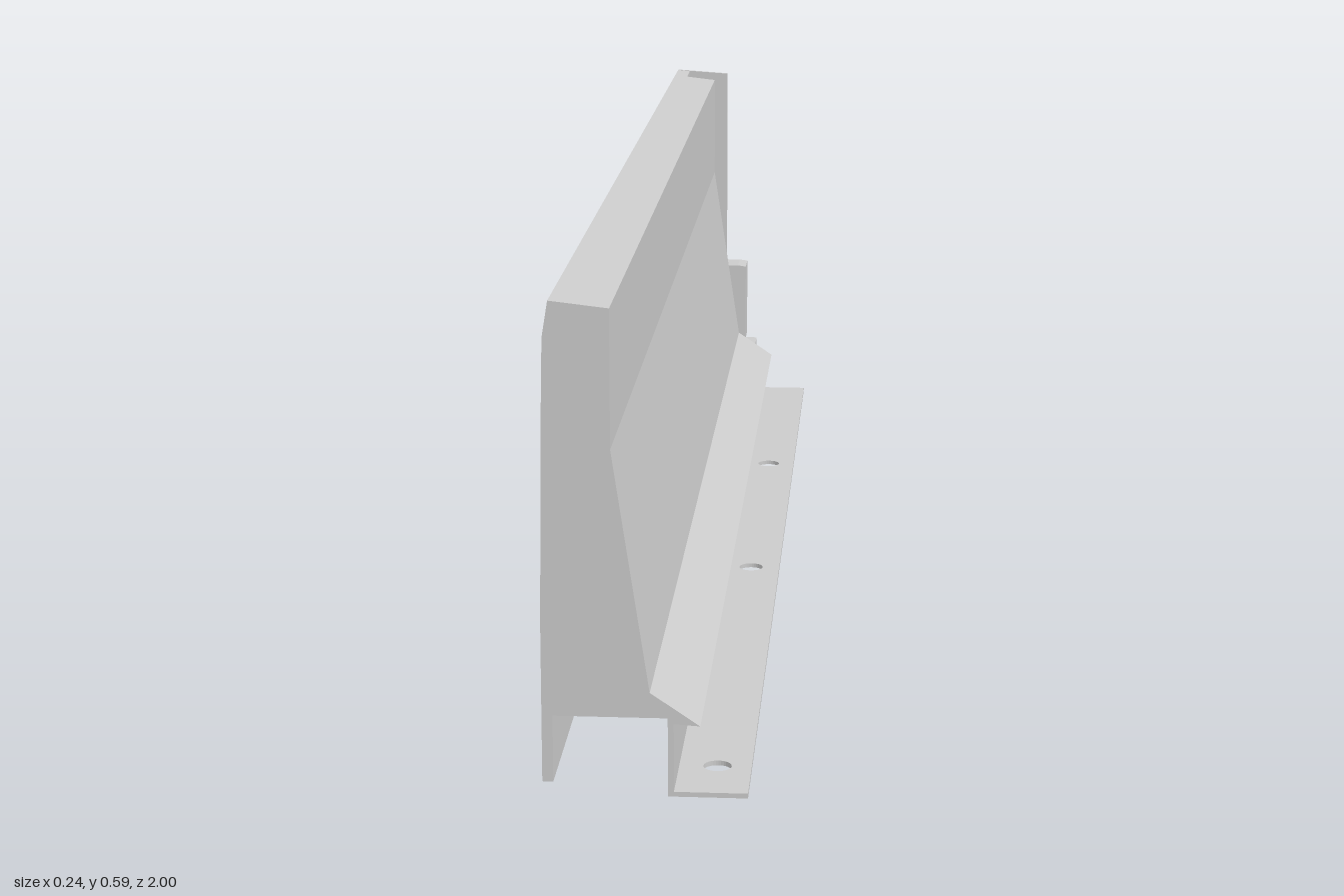
import * as THREE from 'three';

const grey = new THREE.MeshStandardMaterial({ color: 0xcccccc, flatShading: true });

// Extrude an x-y cross-section from zBack to zFront
function extrudeZ(name, points, zBack, zFront) {
  const shape = new THREE.Shape(points.map(([x, y]) => new THREE.Vector2(x, y)));
  const geometry = new THREE.ExtrudeGeometry(shape, { depth: zFront - zBack, bevelEnabled: false });
  geometry.translate(0, 0, zBack);
  const mesh = new THREE.Mesh(geometry, grey);
  mesh.name = name;
  return mesh;
}

export function createModel() {
  const group = new THREE.Group();
  group.name = 'wallPanel';

  const FRONT = 1, BODY_BACK = -0.87, END = -0.945, BRACKET_BACK = -0.955;

  // Gently curved outer face, from the top down to the skirt
  const outer = [[-0.108, 0.593], [-0.115, 0.55], [-0.118, 0.42], [-0.121, 0.2]];
  const skirt = [[-0.121, 0.015], [-0.108, 0.015], [-0.108, 0.099]];

  // Main body: thick panel with sloped inner face and drip lip
  group.add(extrudeZ('panelBody', [
    ...outer, ...skirt,
    [0.034, 0.099], [0.034, 0.09], [0.065, 0.088], [0.006, 0.128],
    [-0.038, 0.42], [-0.038, 0.585],
  ], BODY_BACK, FRONT));

  // Narrow wall that continues the outer face behind the end notch
  group.add(extrudeZ('notchWall', [
    ...outer, ...skirt, [-0.087, 0.099], [-0.087, 0.5905],
  ], END, BODY_BACK));

  // Thin plate closing the notch
  group.add(extrudeZ('endPlate', [
    ...outer, [-0.121, 0.099], [-0.02, 0.099], [-0.02, 0.587],
  ], END, END + 0.006));

  // Block on the end plate
  group.add(extrudeZ('endBlock', [
    [-0.121, 0.1], [0.014, 0.1], [0.014, 0.234], [0, 0.236], [-0.121, 0.236],
  ], -1, END));

  // Mounting bracket: floor strip and upright web
  group.add(extrudeZ('bracketWeb', [
    [-0.108, 0.1], [-0.108, 0.097], [0.027, 0.097], [0.027, 0],
    [0.034, 0], [0.034, 0.1],
  ], BRACKET_BACK, FRONT));

  // Foot flange with screw holes, drawn in plan (shape y becomes -z)
  const foot = new THREE.Shape();
  foot.moveTo(0.034, -FRONT);
  foot.lineTo(0.121, -FRONT);
  foot.lineTo(0.121, -BRACKET_BACK);
  foot.lineTo(0.034, -BRACKET_BACK);
  foot.closePath();
  for (const z of [-0.435, 0.13, 0.915]) {
    foot.holes.push(new THREE.Path().absarc(0.08, -z, 0.017, 0, Math.PI * 2, true));
  }
  const footGeometry = new THREE.ExtrudeGeometry(foot, { depth: 0.006, bevelEnabled: false, curveSegments: 16 });
  footGeometry.rotateX(-Math.PI / 2);
  const flange = new THREE.Mesh(footGeometry, grey);
  flange.name = 'footFlange';
  group.add(flange);

  return group;
}
